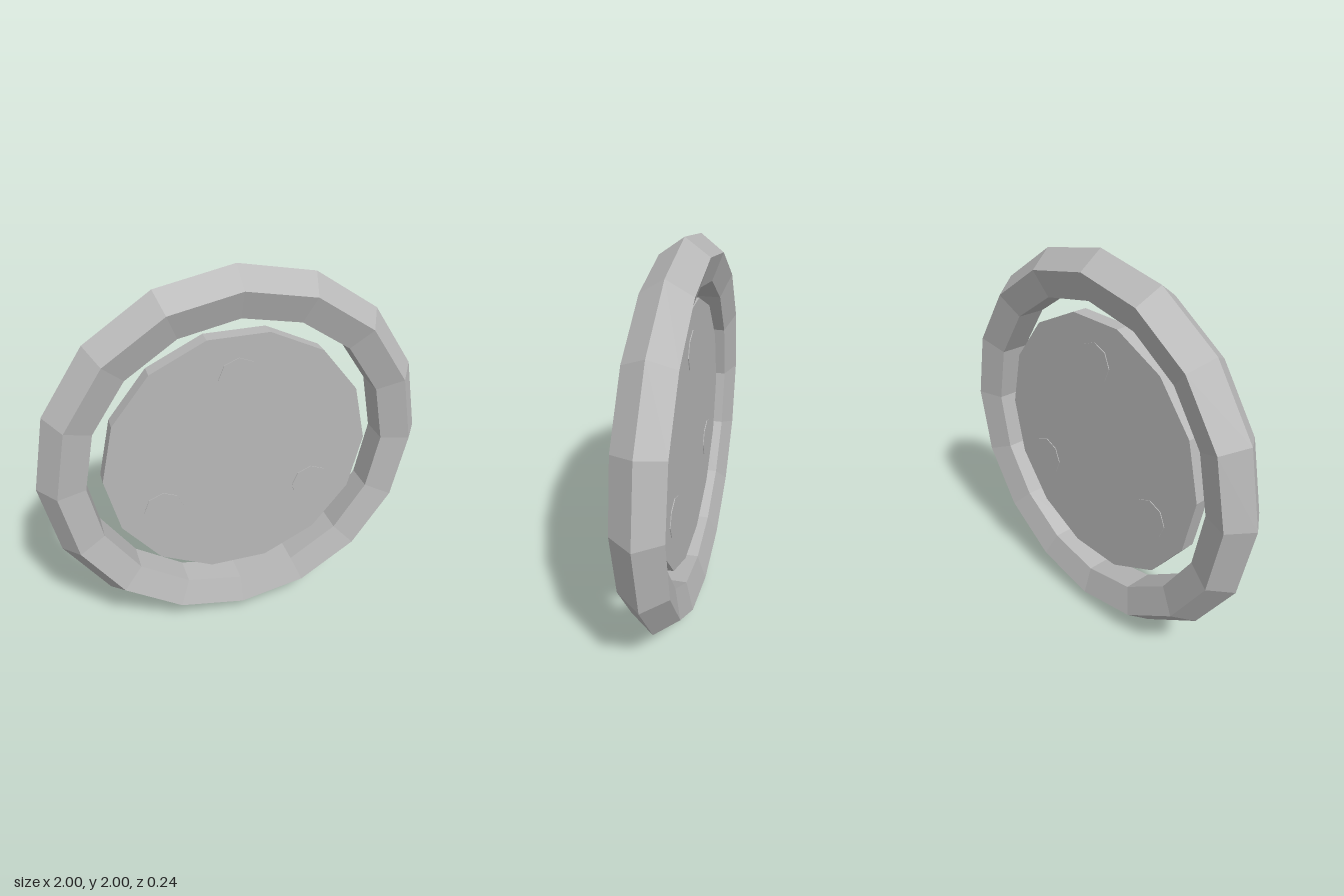
import * as THREE from 'three';

export function createModel() {
  const model = new THREE.Group();
  model.name = 'ringedDisc';
  const grey = new THREE.MeshStandardMaterial({ color: 0xb8b8b8, flatShading: true });
  grey.name = 'plain grey';

  const add = (name, geometry, x = 0, y = 0) => {
    const mesh = new THREE.Mesh(geometry, grey);
    mesh.name = name;
    mesh.position.set(x, 1 + y, 0);
    model.add(mesh);
  };

  // Upright prism with its axis along z and a corner on the x axis
  const prism = (radius, depth, sides) =>
    new THREE.CylinderGeometry(radius, radius, depth, sides, 1, false, Math.PI / 2).rotateX(Math.PI / 2);

  // Outer ring with a five-sided section
  add('outerRing', new THREE.TorusGeometry(0.874, 0.126, 5, 16));

  // Free-standing disc inside the ring
  add('innerDisc', prism(0.688, 0.076, 14));

  // Three studs running through the disc, barely proud on both faces
  for (let i = 0; i < 3; i++) {
    const a = Math.PI / 2 + (i * Math.PI * 2) / 3;
    add('stud' + (i + 1), prism(0.103, 0.084, 8), 0.46 * Math.cos(a), 0.46 * Math.sin(a));
  }
  return model;
}
